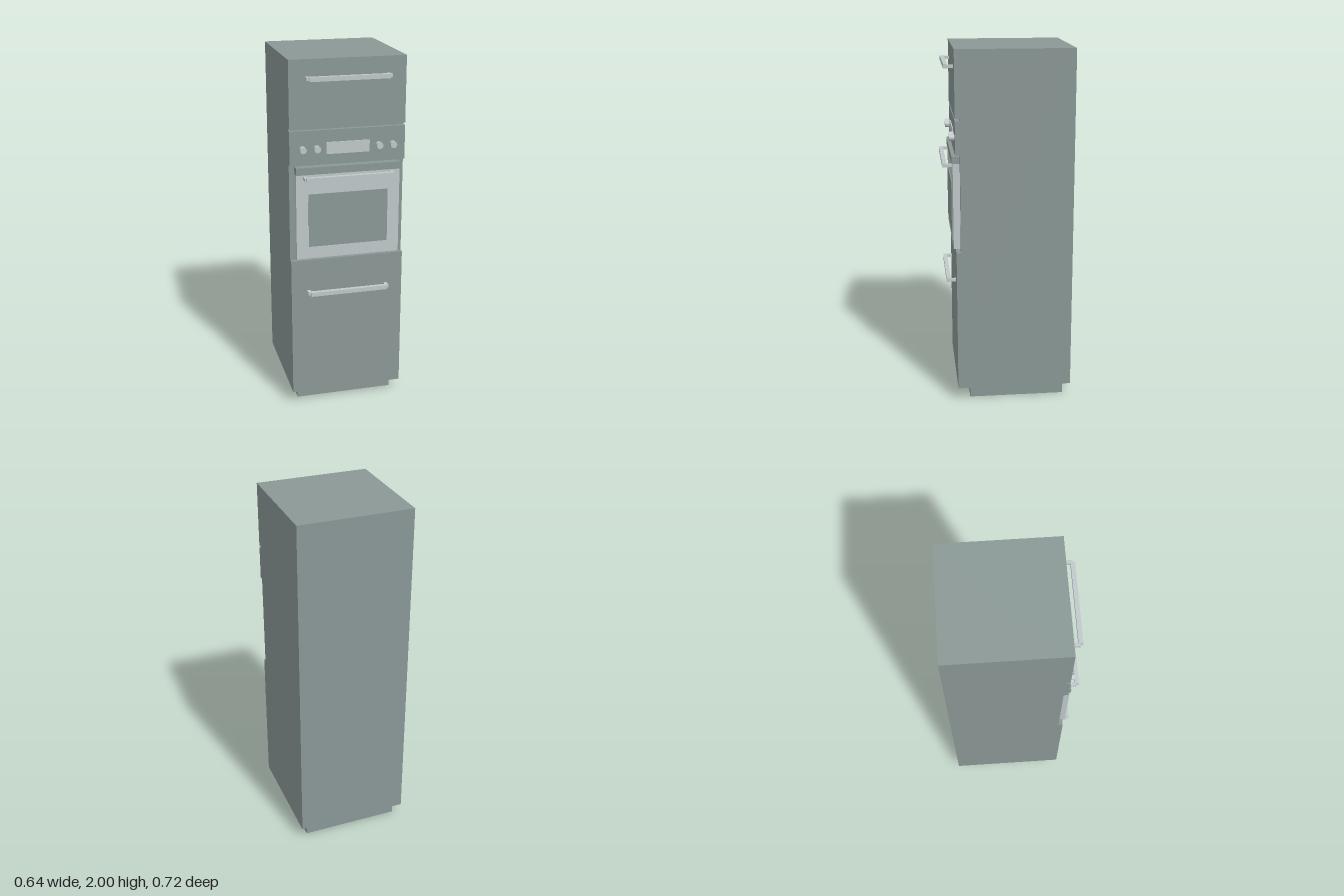
import * as THREE from 'three';

export function createModel() {
  const group = new THREE.Group();
  const cabinet = new THREE.MeshStandardMaterial({ color: 0x8a9896 });
  cabinet.name = 'greyGreenCabinet';
  const metal = new THREE.MeshStandardMaterial({ color: 0xc0c8ca });
  metal.name = 'paleMetal';

  // Box given by its extents on each axis
  function box(name, mat, [x0, x1], [y0, y1], [z0, z1], parent = group) {
    const mesh = new THREE.Mesh(new THREE.BoxGeometry(x1 - x0, y1 - y0, z1 - z0), mat);
    mesh.position.set((x0 + x1) / 2, (y0 + y1) / 2, (z0 + z1) / 2);
    mesh.name = name;
    parent.add(mesh);
    return mesh;
  }

  // Cylinder pointing forwards
  function peg(name, mat, x, y, radius, z0, z1, parent = group) {
    const geo = new THREE.CylinderGeometry(radius, radius, z1 - z0, 24).rotateX(Math.PI / 2);
    const mesh = new THREE.Mesh(geo, mat);
    mesh.position.set(x, y, (z0 + z1) / 2);
    mesh.name = name;
    parent.add(mesh);
  }

  // Bar handle on two posts
  function handle(name, y, half, postX, zBack, zBar, zFront) {
    const g = new THREE.Group();
    g.name = name;
    box('handleBar', metal, [-half, half], [y - 0.012, y + 0.012], [zBar, zFront], g);
    for (const s of [-1, 1]) {
      box('handlePost', metal, [s * postX - 0.01, s * postX + 0.01],
        [y - 0.008, y + 0.008], [zBack, zBar + 0.01], g);
    }
    group.add(g);
  }

  // Carcass and recessed plinth
  const width = [-0.32, 0.32];
  box('carcass', cabinet, width, [0.075, 2], [-0.358, 0.265]);
  box('plinth', cabinet, [-0.28, 0.28], [0, 0.075], [-0.32, 0.22]);

  // Front panels separated by narrow gaps
  const panelZ = [0.265, 0.29];
  box('upperDoor', cabinet, width, [1.635, 2], panelZ);
  box('controlPanel', cabinet, width, [1.435, 1.622], panelZ);
  box('lowerDoor', cabinet, width, [0.075, 0.89], panelZ);

  // Oven door, top trim and window
  box('ovenDoor', metal, [-0.29, 0.29], [0.905, 1.385], [0.265, 0.303]);
  box('ovenTrim', cabinet, [-0.29, 0.29], [1.385, 1.425], [0.265, 0.309]);
  box('ovenWindow', cabinet, [-0.222, 0.222], [0.975, 1.275], [0.303, 0.309]);

  // Display and knobs
  box('display', metal, [-0.12, 0.12], [1.49, 1.555], [0.29, 0.296]);
  for (const x of [-0.25, -0.172, 0.172, 0.25]) peg('knob', metal, x, 1.523, 0.018, 0.29, 0.32);

  // Handles
  handle('upperHandle', 1.902, 0.22, 0.222, 0.29, 0.32, 0.343);
  handle('ovenHandle', 1.368, 0.24, 0.24, 0.303, 0.334, 0.357);
  handle('lowerHandle', 0.702, 0.22, 0.222, 0.29, 0.32, 0.343);

  return group;
}
